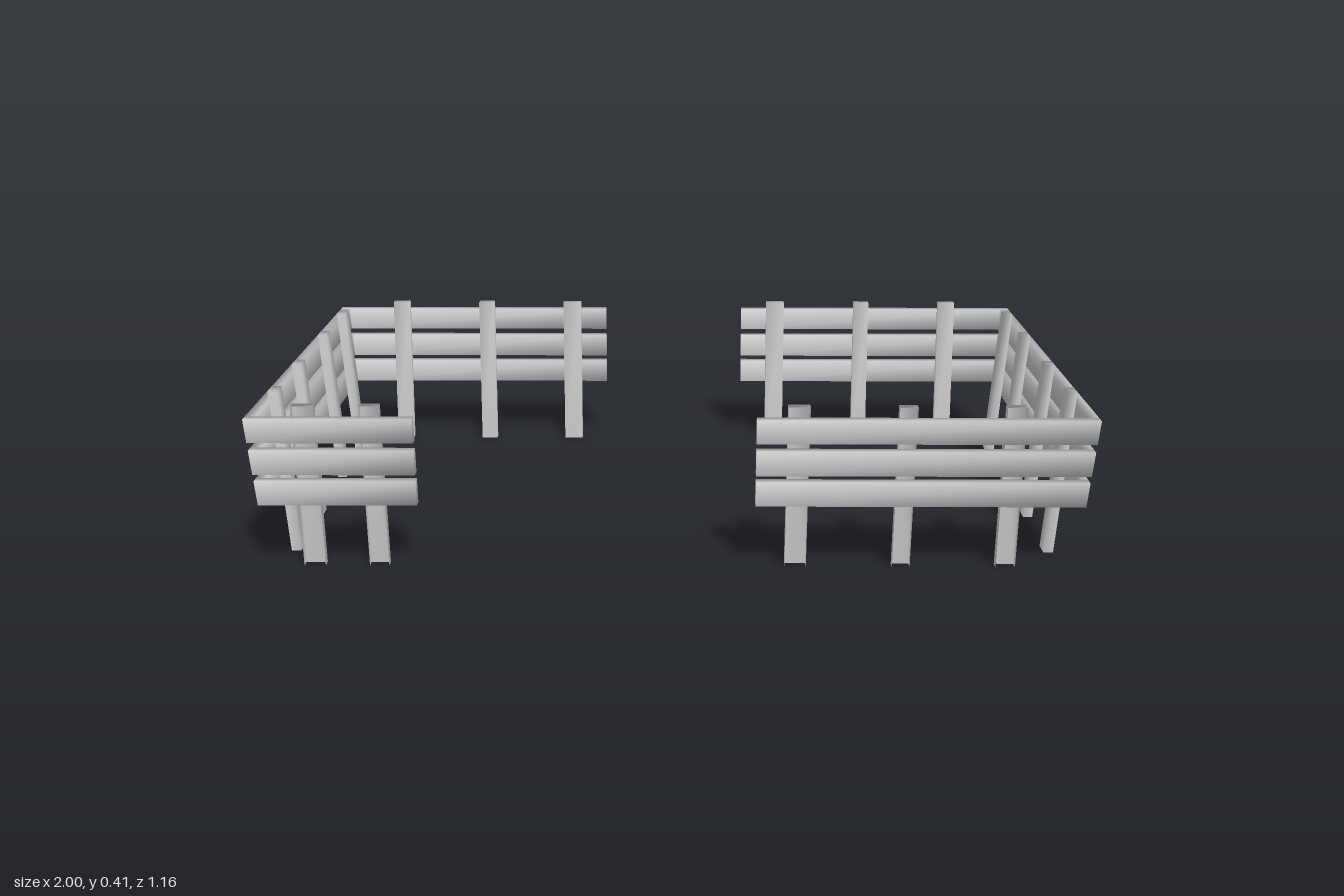
import * as THREE from 'three';
import { mergeVertices } from 'three/addons/utils/BufferGeometryUtils.js';

const LEAN = 0.075;       // outward lean per unit of height
const TOP = 0.3875;       // top edge of the highest rail
const THICK = 0.025;

const lean = (y) => LEAN * (y - TOP);

// Box whose corners are placed by a rule; shared corners give soft shading.
function slab(place, open) {
  const g = new THREE.BoxGeometry(1, 1, 1);
  if (open) {
    // leave off the underside and the face hidden behind the rails
    const i = Array.from(g.index.array);
    g.setIndex([...i.slice(0, 18), ...i.slice(30, 36)]);
  }
  g.clearGroups();
  g.deleteAttribute('normal');
  g.deleteAttribute('uv');
  const p = g.attributes.position;
  for (let k = 0; k < p.count; k++) {
    p.setXYZ(k, ...place(p.getX(k) + 0.5, p.getY(k) + 0.5, p.getZ(k) + 0.5));
  }
  const merged = mergeVertices(g);
  merged.computeVertexNormals();
  return merged;
}

// One straight stretch of fence: local x runs along it, local z points outward.
function fenceRun(name, material, { face, from, to, posts, angle, corners }) {
  const run = new THREE.Group();
  run.name = name;
  const add = (part, geometry) => {
    const mesh = new THREE.Mesh(geometry, material);
    mesh.name = part;
    run.add(mesh);
  };
  // ends at a corner follow the lean of the neighbouring stretch
  const end = (u, y) => (corners.includes(u) ? u + Math.sign(u) * lean(y) : u);

  // rails
  [[0.169, 0.231], [0.247, 0.309], [0.328, TOP]].forEach(([y0, y1], n) => {
    add(`rail${n + 1}`, slab((a, b, c) => {
      const y = y0 + (y1 - y0) * b;
      const x = THREE.MathUtils.lerp(end(from, y), end(to, y), a);
      return [x, y, face + lean(y) - THICK * (1 - c)];
    }));
  });

  // posts
  posts.forEach(([u, width], n) => {
    add(`post${n + 1}`, slab((a, b, c) => {
      const y = 0.4125 * b;
      return [u + width * (a - 0.5), y, face + lean(y) - THICK - 0.024 * (1 - c)];
    }, true));
  });

  run.rotation.y = angle;
  return run;
}

export function createModel() {
  const wood = new THREE.MeshStandardMaterial({ color: 0xcccccc, side: THREE.DoubleSide });
  wood.name = 'paleGrey';
  const model = new THREE.Group();
  model.name = 'fenceEnclosure';

  const F = 0.582;
  const add = (name, spec) => model.add(fenceRun(name, wood, spec));

  // front, with a wide opening
  add('frontLeftFence', {
    face: F, from: 0.2, to: 1, corners: [1], angle: 0,
    posts: [[0.3, 0.052], [0.556, 0.043], [0.809, 0.047]],
  });
  add('frontRightFence', {
    face: F, from: -1, to: -0.605, corners: [-1], angle: 0,
    posts: [[-0.866, 0.052], [-0.709, 0.047]],
  });

  // back, with a central opening
  add('backLeftFence', {
    face: F, from: -1, to: -0.2, corners: [-1], angle: Math.PI,
    posts: [[-0.3, 0.052], [-0.556, 0.043], [-0.809, 0.047]],
  });
  add('backRightFence', {
    face: F, from: 0.205, to: 1, corners: [1], angle: Math.PI,
    posts: [[0.305, 0.052], [0.56, 0.045], [0.814, 0.047]],
  });

  // sides
  for (const [name, s] of [['leftFence', 1], ['rightFence', -1]]) {
    add(name, {
      face: 1, from: -0.555, to: 0.555, corners: [-0.555, 0.555], angle: s * Math.PI / 2,
      posts: [-0.406, -0.154, 0.154, 0.406].map((z) => [z, 0.045]),
    });
  }
  return model;
}
